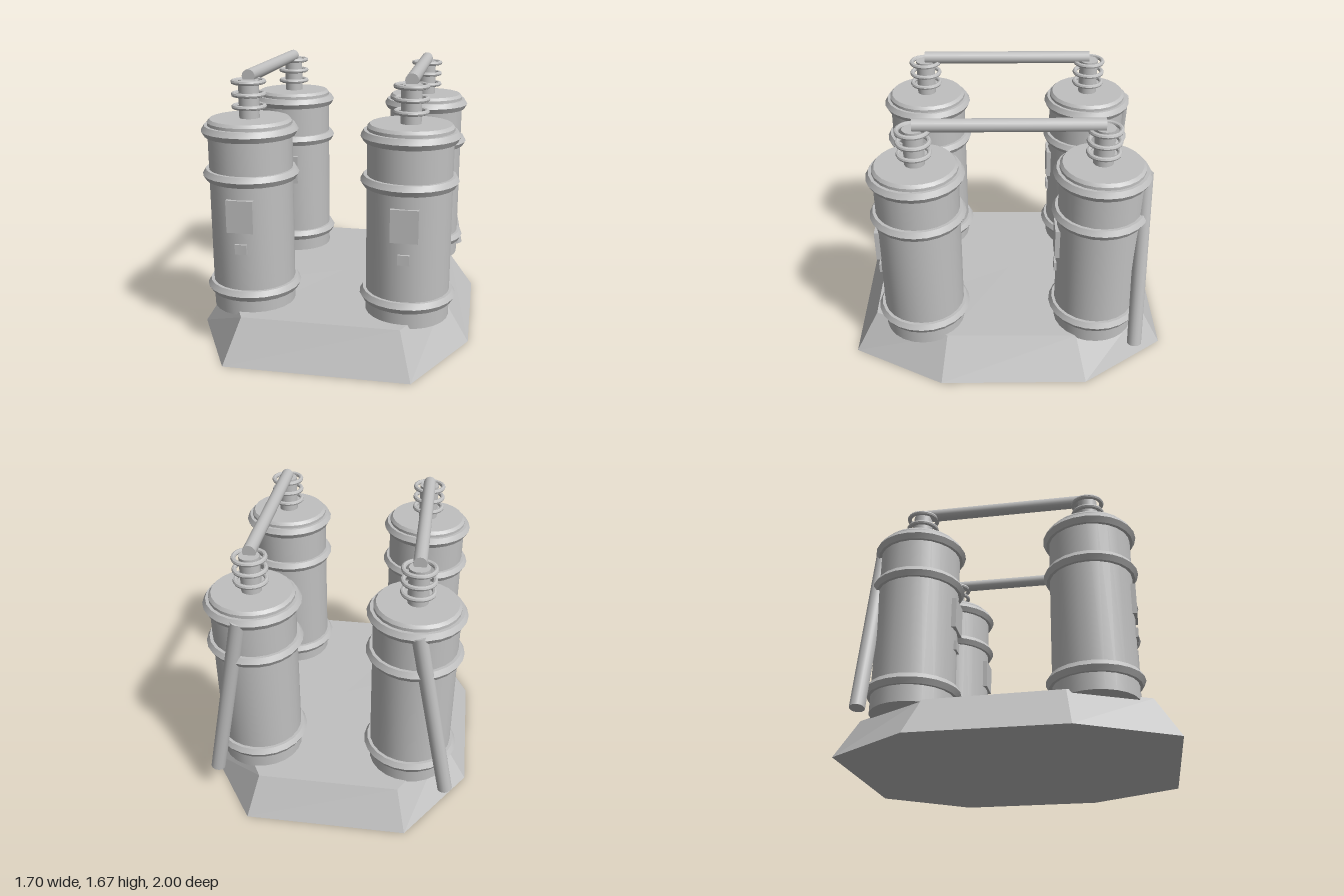
import * as THREE from 'three';
import { toCreasedNormals } from 'three/addons/utils/BufferGeometryUtils.js';

const SIDES = 24;
const CAN_X = 0.475, CAN_Z = 0.54, CAN_R = 0.25;

export function createModel() {
  const model = new THREE.Group();
  model.name = 'capacitorBank';
  const metal = new THREE.MeshStandardMaterial({ color: 0xc0c0c0 });
  metal.name = 'greyMetal';

  const add = (parent, name, geometry, x = 0, y = 0, z = 0) => {
    const mesh = new THREE.Mesh(geometry, metal);
    mesh.name = name;
    mesh.position.set(x, y, z);
    parent.add(mesh);
    return mesh;
  };

  // Straight round bar between two points
  const bar = (name, a, b, radius) => {
    const from = new THREE.Vector3(...a), to = new THREE.Vector3(...b);
    const dir = to.clone().sub(from);
    const geo = toCreasedNormals(new THREE.CylinderGeometry(radius, radius, dir.length(), 16), 0.7);
    const mesh = add(model, name, geo);
    mesh.position.copy(from).add(to).multiplyScalar(0.5);
    mesh.quaternion.setFromUnitVectors(new THREE.Vector3(0, 1, 0), dir.normalize());
  };

  // Horizontal ring
  const ringGeometry = (radius, tube, tubeSides) =>
    toCreasedNormals(new THREE.TorusGeometry(radius, tube, tubeSides, SIDES).rotateX(-Math.PI / 2), 0.7);

  add(model, 'base', baseGeometry());

  // Shared can geometries
  const body = toCreasedNormals(new THREE.LatheGeometry([
    [0, 0.23], [CAN_R, 0.23], [CAN_R, 1.37], [0.235, 1.388], [0, 1.388],
  ].map(([r, y]) => new THREE.Vector2(r, y)), SIDES), 0.5);
  const band = ringGeometry(CAN_R, 0.037, 6);
  const neck = toCreasedNormals(new THREE.CylinderGeometry(0.06, 0.06, 0.235, SIDES), 0.7);
  const fin = ringGeometry(0.09, 0.014, 8);
  const panel = new THREE.BoxGeometry(0.16, 0.195, 0.035);
  const plate = new THREE.BoxGeometry(0.07, 0.06, 0.025);

  for (const sx of [-1, 1]) {
    for (const sz of [-1, 1]) {
      const can = new THREE.Group();
      can.name = 'can';
      can.position.set(sx * CAN_X, 0, sz * CAN_Z);
      model.add(can);
      add(can, 'canBody', body);
      for (const y of [0.363, 1.06, 1.32]) add(can, 'canBand', band, 0, y, 0);
      add(can, 'insulatorNeck', neck, 0, 1.4925, 0);
      for (const y of [1.455, 1.527, 1.6]) add(can, 'insulatorRing', fin, 0, y, 0);
      add(can, 'frontPanel', panel, 0, 0.855, 0.247);
      add(can, 'smallPlate', plate, 0, 0.655, 0.25);
    }
    // Bar joining front and back insulators, and the slanted rear pipe
    bar('topBar', [sx * CAN_X, 1.63, -CAN_Z], [sx * CAN_X, 1.63, CAN_Z], 0.039);
    bar('rearPipe', [sx * 0.715, 0.207, -0.786], [sx * 0.5, 1.33, -0.786], 0.045);
  }
  return model;
}

// Eight-sided sloped plinth: half outlines mirrored, then joined by loops
function baseGeometry() {
  const mirror = half => [...half, ...half.slice().reverse().map(([x, y, z]) => [-x, y, z])];
  const bottom = mirror([[0.55, 0, 1], [0.85, 0, 0.43], [0.85, 0, -0.48], [0.49, 0, -1]]);
  const top = mirror([[0.47, 0.255, 0.86], [0.69, 0.255, 0.39], [0.69, 0.245, -0.42], [0.43, 0.235, -0.87]]);
  const topMid = [0, 0.247, 0], bottomMid = [0, 0, 0];
  const points = [];
  for (let i = 0; i < 8; i++) {
    const j = (i + 1) % 8;
    points.push(bottom[i], bottom[j], top[j], bottom[i], top[j], top[i]);
    points.push(topMid, top[i], top[j], bottomMid, bottom[j], bottom[i]);
  }
  const geo = new THREE.BufferGeometry();
  geo.setAttribute('position', new THREE.Float32BufferAttribute(points.flat(), 3));
  geo.computeVertexNormals();
  return geo;
}
